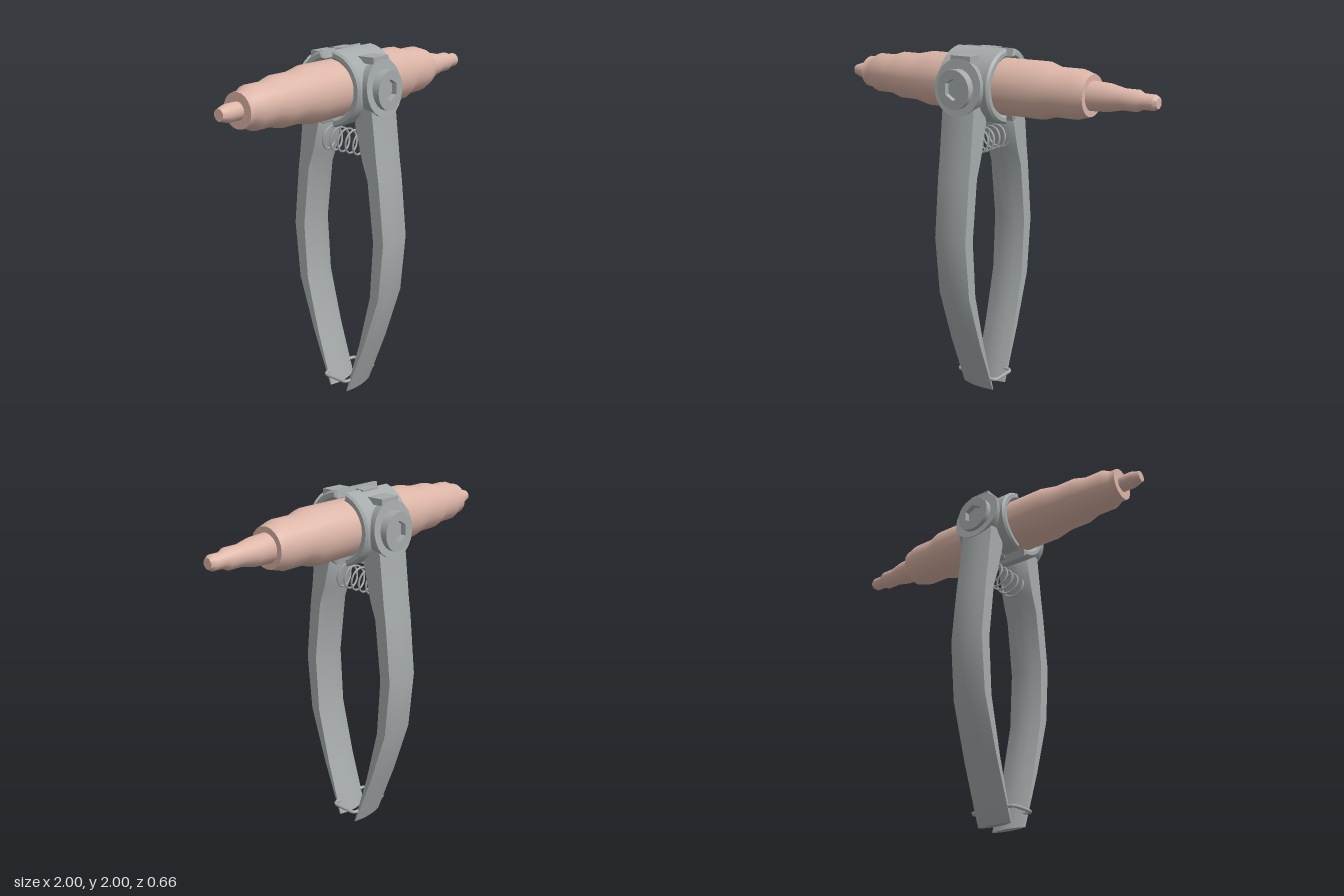
import * as THREE from 'three';
import { toCreasedNormals } from 'three/addons/utils/BufferGeometryUtils.js';

const steel = new THREE.MeshStandardMaterial({ color: 0xa5aaab });
steel.name = 'steel grey';
const copper = new THREE.MeshStandardMaterial({ color: 0xdcb5a7 });
copper.name = 'copper pink';

const AXIS_Y = 1.8;
const CLAMP_X = -0.045;

function add(parent, name, geometry, material = steel) {
  const mesh = new THREE.Mesh(geometry, material);
  mesh.name = name;
  parent.add(mesh);
  return mesh;
}

// Stepped rod turned around the x axis
function rodGeometry() {
  const profile = [
    [-1, 0], [-1, 0.03], [-0.95, 0.045], [-0.88, 0.045], [-0.88, 0.09], [-0.84, 0.09],
    [-0.8, 0.112], [-0.69, 0.112], [-0.62, 0.132], [-0.5, 0.132], [-0.4, 0.152],
    [0.36, 0.152], [0.43, 0.13], [0.56, 0.13], [0.635, 0.108], [0.635, 0.077],
    [0.73, 0.072], [0.81, 0.055], [0.89, 0.055], [0.92, 0.04], [0.98, 0.04], [1, 0.028], [1, 0],
  ].map(([x, r]) => new THREE.Vector2(r, x));
  return toCreasedNormals(new THREE.LatheGeometry(profile, 20).rotateZ(-Math.PI / 2), 0.6);
}

// Curved handle lofted through flat sections with bulging outer and inner faces
function legGeometry() {
  const rows = [ // y, outer z, inner z
    [0.005, 0.08, 0.035], [0.33, 0.2, 0.13], [0.65, 0.3, 0.205], [0.98, 0.33, 0.225],
    [1.32, 0.295, 0.185], [1.42, 0.28, 0.15], [1.62, 0.257, 0.1], [1.8, 0.235, 0.16],
  ];
  const steps = [-1, -0.5, 0, 0.5, 1];
  const width = 0.105, n = steps.length * 2;
  const pos = [], index = [];
  for (const [y, zo, zi] of rows) {
    for (const s of steps) pos.push(s * width, y, zo - 0.016 * s * s);
    for (const s of steps) pos.push(-s * width, y, zi + 0.022 * s * s);
  }
  for (let i = 0; i < rows.length - 1; i++) {
    for (let j = 0; j < n; j++) {
      const a = i * n + j, b = i * n + (j + 1) % n;
      index.push(a, b, a + n, b, b + n, a + n);
    }
  }
  const top = (rows.length - 1) * n;
  for (let j = 1; j < n - 1; j++) {
    index.push(0, j + 1, j, top, top + j, top + j + 1);
  }
  const g = new THREE.BufferGeometry();
  g.setAttribute('position', new THREE.Float32BufferAttribute(pos, 3));
  g.setIndex(index);
  return toCreasedNormals(g, 0.6);
}

// Half collar around the rod; end is the distance of its cut edges from the middle
function collarGeometry(end) {
  const inner = 0.168, outer = 0.19, bevel = 0.012;
  const a = Math.PI / 2 - Math.asin((end + bevel) / outer);
  const shape = new THREE.Shape();
  shape.absarc(0, 0, outer, -a, a, false);
  shape.absarc(0, 0, inner, a, -a, true);
  shape.closePath();
  const g = new THREE.ExtrudeGeometry(shape, {
    depth: 0.316, bevelEnabled: true, bevelSize: bevel, bevelThickness: bevel,
    bevelSegments: 1, curveSegments: 16,
  });
  g.translate(0, 0, -0.158).rotateY(-Math.PI / 2).translate(0, AXIS_Y, 0);
  return toCreasedNormals(g, 0.5);
}

// Tapered locking tab lying flat between the collar halves
function tabGeometry() {
  const shape = new THREE.Shape([[-0.06, 0.075], [-0.06, 0.05], [-0.04, 0.01],
    [0.04, 0.01], [0.06, 0.05], [0.06, 0.075]].map(([x, z]) => new THREE.Vector2(x, z)));
  return new THREE.ExtrudeGeometry(shape, { depth: 0.03, bevelEnabled: false })
    .rotateX(Math.PI / 2);
}

// Bolt head with a hexagonal socket
function boltGeometry() {
  const shape = new THREE.Shape().absarc(0, 0, 0.105, 0, Math.PI * 2, false);
  const hex = [];
  for (let i = 0; i < 6; i++) {
    const a = Math.PI / 2 - i * Math.PI / 3;
    hex.push(new THREE.Vector2(Math.cos(a) * 0.058, Math.sin(a) * 0.058));
  }
  shape.holes.push(new THREE.Path(hex));
  return toCreasedNormals(new THREE.ExtrudeGeometry(shape,
    { depth: 0.08, bevelEnabled: false, curveSegments: 12 }), 0.6);
}

function roundDisc(rOuter, rInner, depth) {
  return toCreasedNormals(
    new THREE.CylinderGeometry(rOuter, rInner, depth, 24).rotateX(Math.PI / 2), 0.6);
}

// One side of the pliers: handle, pivot head, bolt and half collar
function createHalf(name, end, hasTabs) {
  const half = new THREE.Group();
  half.name = name;
  add(half, 'handle', legGeometry());
  const head = add(half, 'pivotHead', roundDisc(0.152, 0.135, 0.085));
  head.position.set(0, AXIS_Y, 0.195);
  head.rotation.x = -0.13;
  add(half, 'headTopBlock', new THREE.BoxGeometry(0.13, 0.035, 0.12)).position.set(0, 1.952, 0.15);
  add(half, 'bolt', boltGeometry()).position.set(0, AXIS_Y, 0.195);
  add(half, 'boltSocketFloor', new THREE.CircleGeometry(0.07, 12)).position.set(0, AXIS_Y, 0.245);
  add(half, 'collar', collarGeometry(end));
  add(half, 'springSeat', roundDisc(0.085, 0.085, 0.06)).position.set(0, 1.49, 0.19);
  if (hasTabs) {
    add(half, 'topTab', tabGeometry()).position.y = 1.998;
    add(half, 'bottomTab', tabGeometry()).position.y = 1.632;
  }
  return half;
}

// Coil spring between the handles
class Helix extends THREE.Curve {
  getPoint(t, target = new THREE.Vector3()) {
    const a = t * Math.PI * 2 * 6.5;
    return target.set(Math.sin(a) * 0.066, Math.cos(a) * 0.066, (t - 0.5) * 0.34);
  }
}

// Closed wire loop with rounded corners, lying flat
function loopGeometry(w, d, r) {
  const path = new THREE.CurvePath();
  const v = (x, z) => new THREE.Vector3(x, 0, z);
  const corners = [[1, 1], [-1, 1], [-1, -1], [1, -1]];
  corners.forEach(([sx, sz], i) => {
    const alongX = v(sx * (w - r), sz * d), alongZ = v(sx * w, sz * (d - r));
    const [from, to] = i % 2 ? [alongX, alongZ] : [alongZ, alongX];
    path.add(new THREE.QuadraticBezierCurve3(from, v(sx * w, sz * d), to));
    const [nx, nz] = corners[(i + 1) % 4];
    path.add(new THREE.LineCurve3(to, i % 2 ? v(nx * w, nz * (d - r)) : v(nx * (w - r), nz * d)));
  });
  // Straight sides of even and odd corners run along x and z in turn
  return new THREE.TubeGeometry(path, 64, 0.01, 8, true);
}

export function createModel() {
  const model = new THREE.Group();
  model.name = 'expanderPliers';
  add(model, 'steppedRod', rodGeometry(), copper).position.y = AXIS_Y;

  const clamp = new THREE.Group();
  clamp.name = 'clamp';
  clamp.position.x = CLAMP_X;
  model.add(clamp);
  clamp.add(createHalf('frontHalf', 0.018, false));
  const back = createHalf('backHalf', 0.045, true);
  back.rotation.y = Math.PI;
  clamp.add(back);

  add(clamp, 'spring', new THREE.TubeGeometry(new Helix(), 160, 0.006, 6)).position.y = 1.49;
  add(clamp, 'lockingLoop', loopGeometry(0.137, 0.082, 0.03)).position.y = 0.085;
  return model;
}
